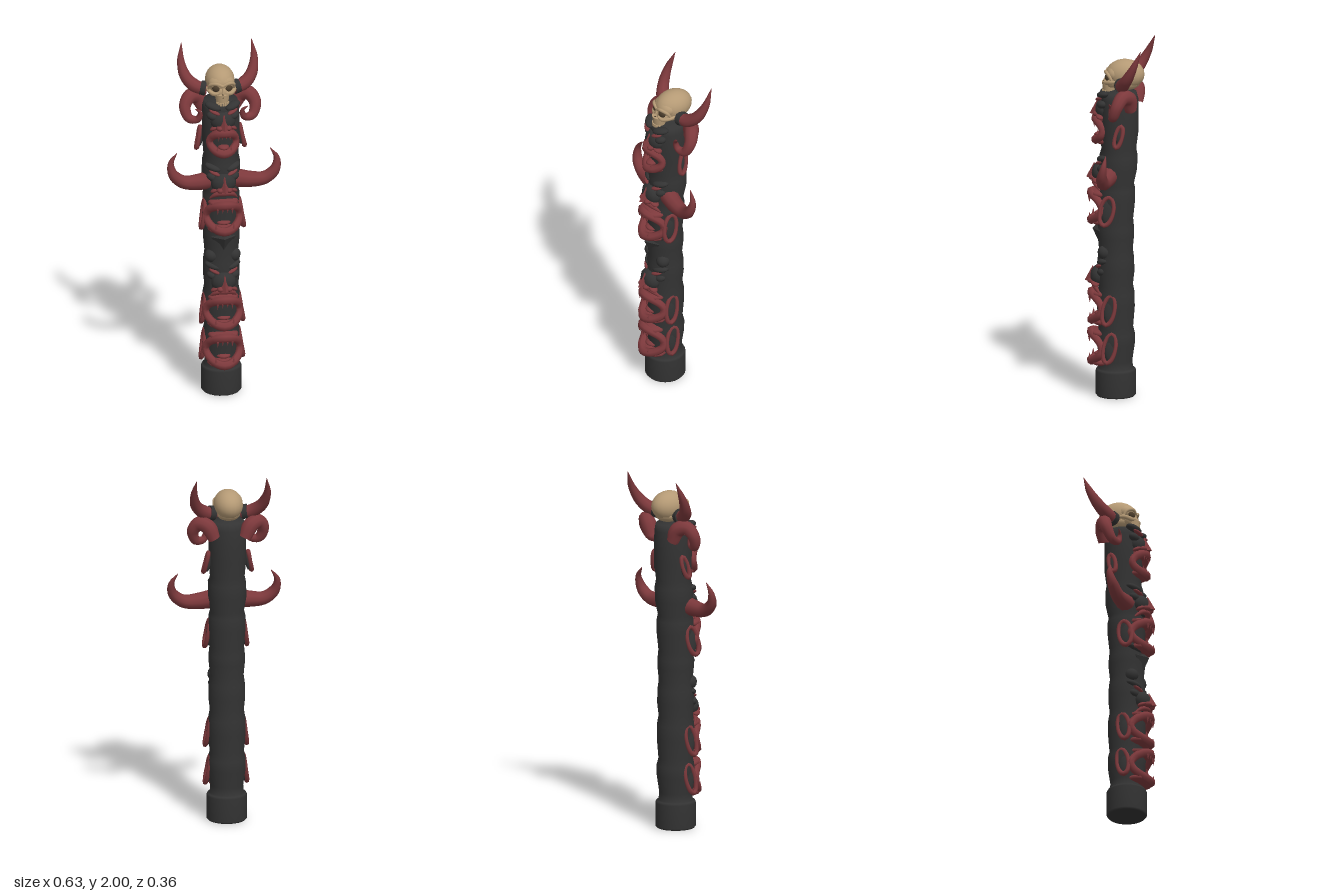
import * as THREE from 'three';
import { mergeVertices } from 'three/addons/utils/BufferGeometryUtils.js';

const mat = (name, color) => {
  const m = new THREE.MeshStandardMaterial({ color });
  m.name = name;
  return m;
};
const V = (x, y, z) => new THREE.Vector3(x, y, z);

export function createModel() {
  const dark = mat('charcoal wood', 0x333333);
  const red = mat('dull red', 0x7d393c);
  const bone = mat('bone', 0xb59a75);
  const shade = mat('bone hollow', 0x4b3d2c);
  const root = new THREE.Group();
  root.name = 'totemPole';
  const body = new THREE.Group();
  body.name = 'carvedPole';
  body.position.x = -0.016;
  root.add(body);

  const add = (name, geo, m, pos = [0, 0, 0], rot = [0, 0, 0], scale = [1, 1, 1]) => {
    const o = new THREE.Mesh(geo, m);
    o.name = name;
    o.position.set(...pos);
    o.rotation.set(...rot);
    o.scale.set(...scale);
    body.add(o);
  };
  // Sharp-edged copy of a geometry
  const flat = (g) => {
    const f = g.toNonIndexed();
    f.computeVertexNormals();
    return mergeVertices(f);
  };
  const ball = new THREE.SphereGeometry(1, 12, 8);
  const dome = new THREE.SphereGeometry(1, 20, 14);
  const blob = (name, m, pos, radii, rot) => add(name, ball, m, pos, rot, radii);
  const fang = flat(new THREE.ConeGeometry(0.009, 0.035, 5));
  const wedge = flat(new THREE.ConeGeometry(1, 1, 4));
  const pair = (fn) => [1, -1].forEach(fn);

  // Tube whose radius follows a list of values along its path
  const taper = (pts, radii, closed, seg, sides) => {
    const curve = new THREE.CatmullRomCurve3(pts, closed);
    const g = new THREE.TubeGeometry(curve, seg, 1, sides, closed);
    const p = g.attributes.position, v = V(0, 0, 0);
    for (let i = 0; i <= seg; i++) {
      const c = curve.getPointAt(i / seg);
      const t = (i / seg) * (radii.length - 1), k = Math.min(Math.floor(t), radii.length - 2);
      const r = THREE.MathUtils.lerp(radii[k], radii[k + 1], t - k);
      for (let j = 0; j <= sides; j++) {
        const n = i * (sides + 1) + j;
        v.fromBufferAttribute(p, n).sub(c).multiplyScalar(r).add(c);
        p.setXYZ(n, v.x, v.y, v.z);
      }
    }
    return g;
  };

  // Pole: stacked bulges on a plain foot, leaning slightly back at the top
  const profile = [[0, 0], [0.104, 0], [0.112, 0.01], [0.112, 0.14], [0.107, 0.152], [0.094, 0.157], [0.091, 0.2],
    [0.104, 0.29], [0.105, 0.35], [0.095, 0.39], [0.104, 0.5], [0.103, 0.58], [0.094, 0.63], [0.102, 0.7],
    [0.1, 0.78], [0.093, 0.83], [0.1, 0.9], [0.1, 0.95], [0.095, 1], [0.104, 1.1], [0.102, 1.17], [0.094, 1.2],
    [0.107, 1.28], [0.105, 1.36], [0.096, 1.4], [0.105, 1.5], [0.104, 1.6], [0.102, 1.68], [0.092, 1.72], [0, 1.735]];
  const poleGeo = new THREE.LatheGeometry(profile.map(([r, y]) => new THREE.Vector2(r, y)), 24);
  const pp = poleGeo.attributes.position;
  for (let i = 0; i < pp.count; i++) {
    pp.setZ(i, pp.getZ(i) - 0.022 * THREE.MathUtils.smoothstep(pp.getY(i), 1, 1.6));
  }
  add('pole', poleGeo, dark);

  // Gaping mouth: lips that jut forward above and below, jaws and fangs
  const mouth = (y, w, h, zf) => {
    const pts = [];
    for (let i = 0; i < 16; i++) {
      const a = (i / 16) * Math.PI * 2, c = Math.cos(a);
      const wide = c < 0 ? 1.08 : 1;
      pts.push(V(w * wide * Math.sin(a), y + h * c, 0.06 + (zf - 0.06) * c * c));
    }
    add('lips', taper(pts, [0.026, 0.021, 0.026, 0.021, 0.026], true, 32, 7), red);
    blob('upperJaw', red, [0, y + h * 0.98, zf - 0.065], [w * 0.95, 0.026, 0.075]);
    blob('lowerJaw', red, [0, y - h * 0.98, zf - 0.065], [w, 0.028, 0.075]);
    blob('tongue', red, [0, y - h * 0.5, 0.08], [w * 0.45, 0.015, 0.04]);
    pair((s) => {
      add('upperFang', fang, red, [s * w * 0.45, y + h * 0.55, zf + 0.003], [Math.PI, 0, 0]);
      add('lowerFang', fang, red, [s * w * 0.55, y - h * 0.55, zf]);
      add('innerTooth', fang, red, [s * w * 0.15, y + h * 0.6, zf + 0.008], [Math.PI, 0, 0], [0.8, 0.7, 0.8]);
    });
  };

  // Ear: red rim around a dark hollow, flaring outwards at the lobe
  const ear = (y, h, z, d, x) => pair((s) => {
    const pts = [];
    for (let i = 0; i < 12; i++) {
      const a = (i / 12) * Math.PI * 2, c = Math.cos(a);
      pts.push(V(s * (x - 0.012 * c), y + h * c, z + d * Math.sin(a) - 0.012 * c));
    }
    add('earRim', taper(pts, [0.013, 0.011, 0.014, 0.011, 0.013], true, 24, 6), red);
    blob('earHollow', dark, [s * (x - 0.012), y, z], [0.016, h * 0.95, d * 0.95], [0, 0, s * 0.12]);
  });

  // Nose with nostrils, slanted brows, cheeks and moustache lip
  const face = (y, zf, lip) => {
    blob('snout', dark, [0, y + 0.01, zf - 0.085], [0.07, 0.06, 0.05]);
    add('nose', wedge, red, [0, y + 0.02, zf - 0.048], [0, 0, 0], [0.034, 0.085, 0.045]);
    pair((s) => {
      blob('nostril', red, [s * 0.024, y - 0.018, zf - 0.05], [0.02, 0.016, 0.028]);
      blob('cheekFold', red, [s * 0.05, y - 0.025, zf - 0.072], [0.028, 0.012, 0.024], [0, s * 0.5, -s * 0.5]);
      blob('brow', red, [s * 0.05, y + 0.072, 0.086], [0.034, 0.01, 0.016], [0, s * 0.5, s * 0.35]);
      blob('eyeSocket', dark, [s * 0.06, y + 0.042, 0.066], [0.034, 0.022, 0.026], [0, s * 0.6, s * 0.3]);
      blob('browRidge', dark, [s * 0.055, y + 0.098, 0.062], [0.05, 0.02, 0.03], [0, s * 0.6, s * 0.25]);
    });
    if (lip) {
      const pts = [V(-0.075, y - 0.08, 0.075), V(-0.045, y - 0.048, 0.105), V(0, y - 0.038, 0.12),
        V(0.045, y - 0.048, 0.105), V(0.075, y - 0.08, 0.075)];
      add('moustacheLip', taper(pts, [0.004, 0.014, 0.017, 0.014, 0.004], false, 16, 7), red);
    }
  };

  mouth(0.275, 0.09, 0.083, 0.137);
  ear(0.285, 0.08, 0.015, 0.034, 0.104);
  mouth(0.502, 0.09, 0.079, 0.135);
  ear(0.5, 0.08, 0.02, 0.034, 0.104);
  face(0.665, 0.178, true);
  mouth(1.068, 0.09, 0.079, 0.137);
  ear(1.062, 0.078, 0.03, 0.038, 0.106);
  face(1.25, 0.17, true);
  mouth(1.505, 0.07, 0.062, 0.112);
  ear(1.49, 0.058, -0.04, 0.02, 0.122);
  face(1.612, 0.15, false);

  // Dark beaked face in the middle
  add('beak', wedge, dark, [0, 0.885, 0.08], [Math.PI, 0, 0], [0.07, 0.11, 0.052]);
  add('beakBridge', wedge, dark, [0, 0.965, 0.08], [0, 0, 0], [0.065, 0.05, 0.05]);
  pair((s) => {
    blob('darkBrow', dark, [s * 0.055, 0.985, 0.066], [0.05, 0.018, 0.03], [0, s * 0.6, s * 0.3]);
    blob('darkCheek', dark, [s * 0.062, 0.82, 0.05], [0.038, 0.04, 0.04]);
  });

  // Three pairs of horns
  pair((s) => {
    add('sideHorn', taper([V(s * 0.06, 1.262, 0.02), V(s * 0.14, 1.25, 0.024), V(s * 0.225, 1.253, 0.022),
      V(s * 0.282, 1.298, 0.018), V(s * 0.294, 1.36, 0.006), V(s * 0.258, 1.42, 0)],
    [0.052, 0.046, 0.038, 0.032, 0.018, 0.001], false, 28, 10), red, [0.013, 0, 0]);
    add('crownHorn', taper([V(s * 0.07, 1.772, -0.045), V(s * 0.13, 1.783, -0.062), V(s * 0.18, 1.825, -0.095),
      V(s * 0.203, 1.9, -0.137), V(s * 0.195, 2.0, -0.18)], [0.034, 0.037, 0.03, 0.018, 0.001], false, 28, 10), red);
    add('curledHorn', taper([V(s * 0.085, 1.64, -0.1), V(s * 0.12, 1.71, -0.095), V(s * 0.165, 1.722, -0.07),
      V(s * 0.195, 1.675, -0.045), V(s * 0.175, 1.613, -0.02), V(s * 0.13, 1.612, -0.004),
      V(s * 0.118, 1.655, 0.004), V(s * 0.148, 1.68, 0.01)],
    [0.034, 0.044, 0.042, 0.036, 0.03, 0.024, 0.016, 0.001], false, 36, 10), red);
    add('hornCollar', new THREE.CylinderGeometry(0.04, 0.042, 0.03, 14), dark,
      [s * 0.092, 1.776, -0.052], [0, s * 0.25, -s * 1.4]);
  });

  // Skull: cranium, brow, cheekbones, upper jaw and teeth
  add('cranium', dome, bone, [0, 1.821, -0.053], [0, 0, 0], [0.081, 0.083, 0.107]);
  add('forehead', dome, bone, [0, 1.825, 0], [0, 0, 0], [0.073, 0.05, 0.053]);
  blob('skullBase', bone, [0, 1.775, -0.05], [0.07, 0.045, 0.085]);
  blob('faceBone', bone, [0, 1.782, 0.02], [0.056, 0.044, 0.04]);
  add('upperJawBone', new THREE.CylinderGeometry(0.04, 0.034, 0.05, 18), bone, [0, 1.75, 0.038]);
  add('noseBone', wedge, bone, [0, 1.8, 0.05], [0, 0, 0], [0.014, 0.04, 0.022]);
  add('noseHollow', wedge, shade, [0, 1.775, 0.064], [0, 0, 0], [0.014, 0.028, 0.016]);
  pair((s) => {
    add('browBone', taper([V(0, 1.822, 0.054), V(s * 0.035, 1.836, 0.05), V(s * 0.066, 1.822, 0.026),
      V(s * 0.07, 1.795, 0.01)], [0.008, 0.01, 0.01, 0.008], false, 14, 7), bone);
    add('cheekbone', taper([V(s * 0.018, 1.782, 0.056), V(s * 0.045, 1.776, 0.046), V(s * 0.07, 1.785, 0.016),
      V(s * 0.076, 1.79, -0.03)], [0.008, 0.013, 0.011, 0.006], false, 14, 7), bone);
    blob('eyeHollow', shade, [s * 0.036, 1.805, 0.042], [0.022, 0.019, 0.012], [0, s * 0.5, 0]);
  });
  for (let i = -3; i <= 3; i++) {
    const a = i * 0.36;
    add('tooth', new THREE.BoxGeometry(0.01, 0.018, 0.008), bone,
      [Math.sin(a) * 0.035, 1.722, 0.038 + Math.cos(a) * 0.036], [0, a, 0]);
  }
  return root;
}
